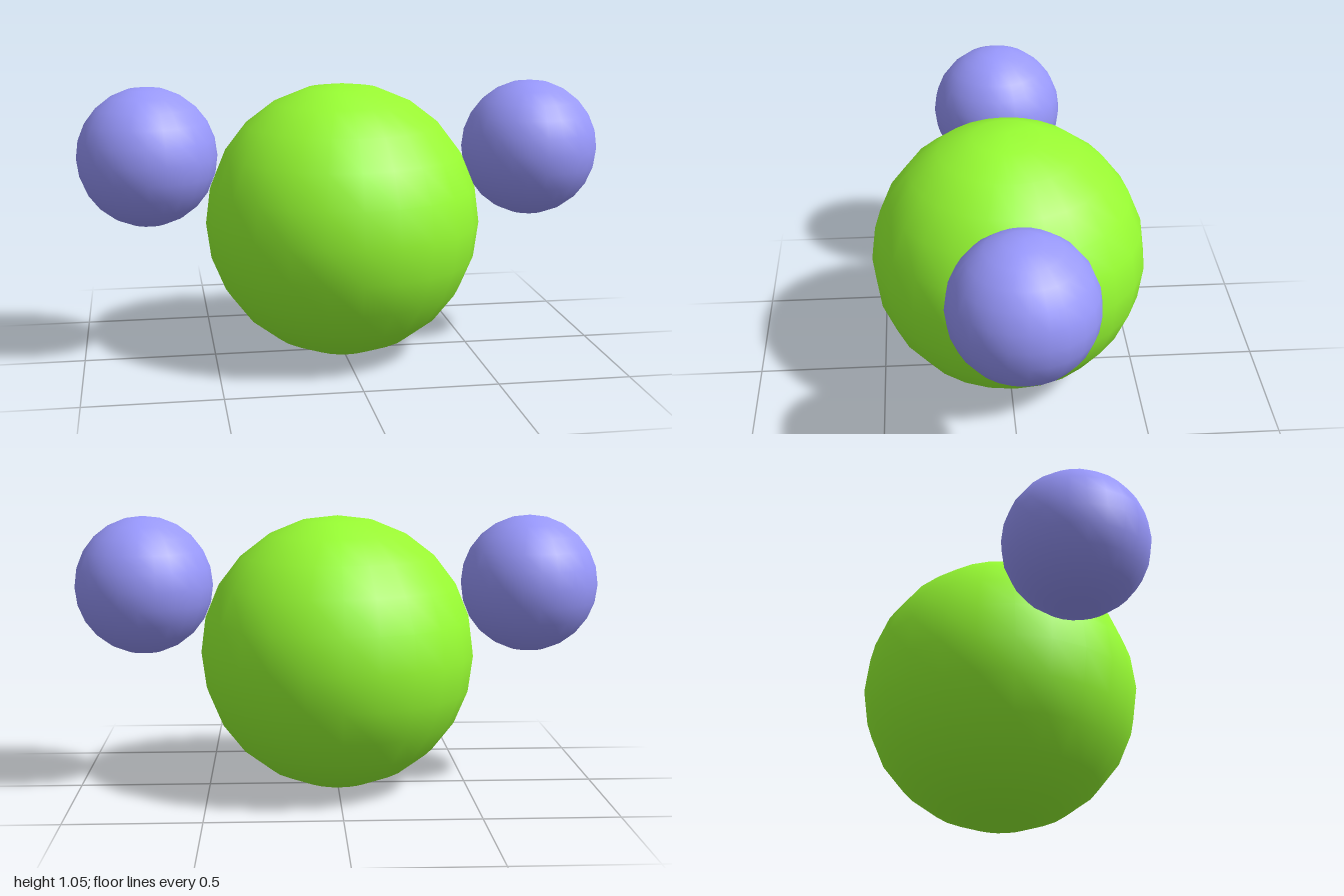
import * as THREE from 'three';

// Smooth ball with 24 sides around and 12 bands from pole to pole
function ball(name, radius, color, x, y) {
  const mesh = new THREE.Mesh(
    new THREE.SphereGeometry(radius, 24, 12),
    new THREE.MeshStandardMaterial({ color })
  );
  mesh.name = name;
  mesh.position.set(x, y, 0);
  return mesh;
}

export function createModel() {
  const model = new THREE.Group();
  model.name = 'molecule';

  // Large central ball standing on the ground
  model.add(ball('centralBall', 0.525, 0x99ff33, 0, 0.525));

  // Small balls touching it at the upper left and right
  for (const side of [1, -1]) {
    const name = side > 0 ? 'leftBall' : 'rightBall';
    model.add(ball(name, 0.262, 0x9999ff, side * 0.738, 0.788));
  }
  return model;
}
